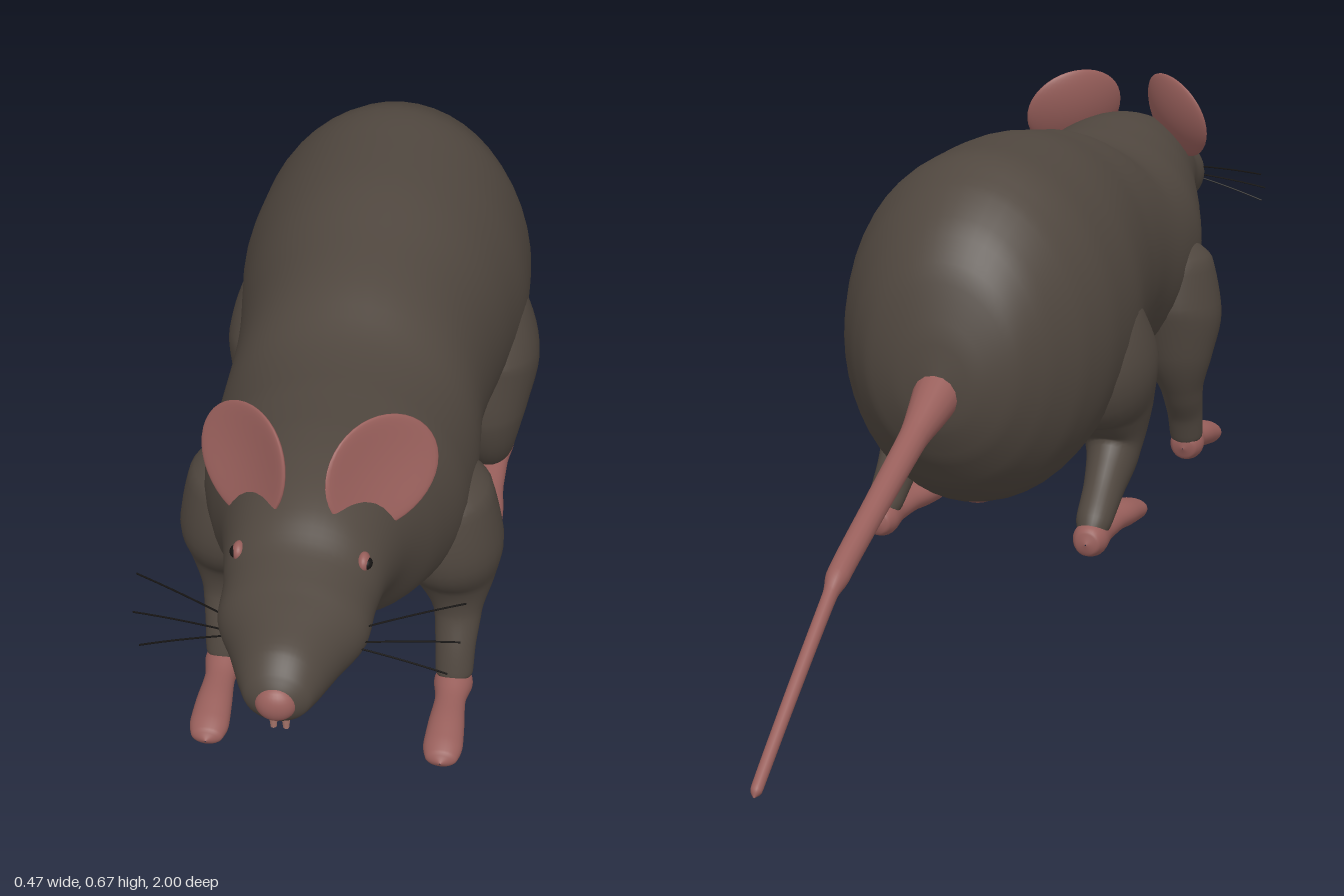
import * as THREE from 'three';

const mat = (name, color) => Object.assign(new THREE.MeshStandardMaterial({ color }), { name });

// Smooth skin through sections [x, y, z, halfWidth, halfHeight]
function loft(sections, steps = 40, sides = 28, upright = false) {
  const path = new THREE.CatmullRomCurve3(sections.map(s => new THREE.Vector3(s[0], s[1], s[2])));
  const size = new THREE.CatmullRomCurve3(sections.map(s => new THREE.Vector3(s[3], s[4], 0)));
  const pos = [], idx = [];
  const X = new THREE.Vector3(1, 0, 0);
  for (let i = 0; i <= steps; i++) {
    const t = i / steps, c = path.getPoint(t), r = size.getPoint(t);
    const T = upright ? new THREE.Vector3(0, 0, 1) : path.getTangent(t);
    T.x = 0;
    const N = T.normalize().cross(X);
    for (let j = 0; j < sides; j++) {
      const a = j / sides * Math.PI * 2;
      const p = c.clone().addScaledVector(X, Math.max(r.x, 0.0005) * Math.cos(a))
        .addScaledVector(N, Math.max(r.y, 0.0005) * Math.sin(a));
      pos.push(p.x, p.y, p.z);
      if (i < steps) {
        const A = i * sides + j, B = i * sides + (j + 1) % sides;
        idx.push(A, B, A + sides, B, B + sides, A + sides);
      }
    }
  }
  const g = new THREE.BufferGeometry();
  g.setAttribute('position', new THREE.Float32BufferAttribute(pos, 3));
  g.setIndex(idx);
  g.computeVertexNormals();
  return g;
}

export function createModel() {
  const fur = mat('darkFur', 0x50473f);
  const pink = mat('pinkSkin', 0x985f5b);
  const black = mat('black', 0x161413);
  const tooth = mat('tooth', 0xa8766c);
  const model = new THREE.Group();
  const add = (name, geo, material, parent = model) => {
    const m = new THREE.Mesh(geo, material);
    m.name = name;
    parent.add(m);
    return m;
  };
  const ball = (name, material, p, s, parent) => {
    const m = add(name, new THREE.SphereGeometry(1, 24, 16), material, parent);
    m.position.set(...p);
    m.scale.set(...s);
    return m;
  };

  // Body and head: [z, centre y, half width, half height]
  const body = [
    [-0.315, 0.37, 0.001, 0.001], [-0.305, 0.375, 0.06, 0.07], [-0.28, 0.39, 0.115, 0.14],
    [-0.24, 0.395, 0.152, 0.195], [-0.18, 0.40, 0.187, 0.24], [-0.1, 0.41, 0.21, 0.263],
    [0, 0.42, 0.215, 0.253], [0.1, 0.435, 0.202, 0.235], [0.2, 0.437, 0.188, 0.217],
    [0.3, 0.437, 0.182, 0.2], [0.4, 0.415, 0.187, 0.19], [0.5, 0.42, 0.183, 0.185],
    [0.6, 0.445, 0.155, 0.165], [0.68, 0.48, 0.125, 0.125], [0.75, 0.49, 0.108, 0.098],
    [0.8, 0.48, 0.1, 0.082], [0.85, 0.475, 0.098, 0.073], [0.9, 0.472, 0.075, 0.064],
    [0.95, 0.47, 0.055, 0.053], [0.975, 0.465, 0.042, 0.038], [0.988, 0.463, 0.022, 0.02],
    [0.99, 0.463, 0.001, 0.001],
  ].map(([z, y, w, h]) => [0, y, z, w, h]);
  add('body', loft(body, 105, 48, true), fur);

  // Nose, tail and underside
  ball('nose', pink, [0, 0.463, 0.98], [0.027, 0.026, 0.02]);
  add('tail', loft([
    [0, 0.355, -0.295, 0.036, 0.036], [0, 0.338, -0.34, 0.029, 0.03], [0, 0.317, -0.4, 0.021, 0.022],
    [0, 0.26, -0.56, 0.018, 0.018], [0, 0.207, -0.7, 0.016, 0.017], [0, 0.19, -0.73, 0.01, 0.011],
    [0, 0.1, -0.87, 0.009, 0.009], [0, 0.018, -0.99, 0.008, 0.008], [0, 0.011, -0.999, 0.001, 0.001],
  ], 60, 16), pink);
  ball('undersideSkin', pink, [0, 0.157, -0.12], [0.03, 0.015, 0.025]);

  // Cupped ear disc
  const earGeo = new THREE.SphereGeometry(1, 32, 20).scale(0.09, 0.075, 0.011);
  const ep = earGeo.attributes.position;
  for (let i = 0; i < ep.count; i++) {
    const x = ep.getX(i), y = ep.getY(i);
    ep.setZ(i, ep.getZ(i) + 2.2 * (x * x + y * y));
  }
  earGeo.computeVertexNormals();

  const frontLegGeo = loft([
    [-0.03, 0.45, 0.45, 0.02, 0.03], [-0.025, 0.41, 0.45, 0.07, 0.08], [-0.02, 0.33, 0.45, 0.082, 0.088],
    [-0.008, 0.25, 0.44, 0.06, 0.056], [0, 0.19, 0.45, 0.035, 0.034], [0, 0.14, 0.473, 0.029, 0.027],
    [0, 0.1, 0.485, 0.027, 0.025], [0, 0.09, 0.488, 0.02, 0.02],
  ]);
  const frontFootGeo = loft([
    [0, 0.08, 0.462, 0.001, 0.001], [0, 0.081, 0.468, 0.02, 0.02], [0, 0.083, 0.49, 0.028, 0.027],
    [0, 0.082, 0.53, 0.022, 0.019], [0, 0.077, 0.575, 0.026, 0.021], [0, 0.07, 0.61, 0.028, 0.02],
    [0, 0.066, 0.635, 0.022, 0.014], [0, 0.066, 0.645, 0.001, 0.001],
  ]);
  const backLegGeo = loft([
    [-0.04, 0.48, 0.0, 0.02, 0.03], [-0.035, 0.43, 0.005, 0.08, 0.08], [-0.022, 0.34, 0.02, 0.092, 0.115],
    [-0.012, 0.26, 0.05, 0.068, 0.085], [-0.002, 0.2, 0.045, 0.043, 0.052], [0, 0.15, -0.01, 0.031, 0.036],
    [0, 0.11, -0.065, 0.027, 0.026], [0, 0.095, -0.08, 0.02, 0.02],
  ]);
  const backFootGeo = loft([
    [0, 0.086, -0.108, 0.001, 0.001], [0, 0.086, -0.102, 0.019, 0.019], [0, 0.088, -0.08, 0.027, 0.027],
    [0, 0.086, -0.03, 0.022, 0.019], [0, 0.083, 0.03, 0.022, 0.018], [0, 0.079, 0.09, 0.028, 0.021],
    [0, 0.072, 0.135, 0.028, 0.018], [0, 0.067, 0.165, 0.02, 0.012], [0, 0.066, 0.175, 0.001, 0.001],
  ]);

  // Whiskers: start and tip on the +x side
  const whiskers = [
    [[0.09, 0.484, 0.85], [0.215, 0.488, 0.79]],
    [[0.09, 0.468, 0.86], [0.213, 0.457, 0.83]],
    [[0.085, 0.462, 0.865], [0.2, 0.428, 0.86]],
  ];

  for (const [side, s] of [['left', 1], ['right', -1]]) {
    for (const [name, legGeo, footGeo] of [
      ['FrontLeg', frontLegGeo, frontFootGeo], ['BackLeg', backLegGeo, backFootGeo]]) {
      const leg = new THREE.Group();
      leg.name = side + name;
      leg.position.x = s * 0.167;
      // the limb leans inward, so the mirrored side uses reflected geometry
      const g = legGeo.clone();
      if (s < 0) {
        g.scale(-1, 1, 1);
        const a = g.index.array;
        for (let i = 0; i < a.length; i += 3) [a[i], a[i + 1]] = [a[i + 1], a[i]];
        g.computeVertexNormals();
      }
      add('limb', g, fur, leg);
      add('foot', footGeo, pink, leg);
      model.add(leg);
    }
    const ear = add(side + 'Ear', earGeo, pink);
    ear.position.set(s * 0.08, 0.6, 0.672);
    ear.rotation.set(-0.3, s * Math.PI / 4, 0, 'YXZ');

    // Eyes with a pink rim
    ball(side + 'EyeRim', pink, [s * 0.081, 0.533, 0.779], [0.009, 0.013, 0.014]);
    ball(side + 'Eye', black, [s * 0.083, 0.533, 0.781], [0.01, 0.009, 0.01]);

    // Front teeth
    const t = add(side + 'Tooth', new THREE.CylinderGeometry(0.007, 0.004, 0.03, 10), tooth);
    t.position.set(s * 0.008, 0.416, 0.957);

    for (const [a, b] of whiskers) {
      const p = new THREE.Vector3(s * a[0], a[1], a[2]), q = new THREE.Vector3(s * b[0], b[1], b[2]);
      const mid = p.clone().lerp(q, 0.5);
      mid.y += 0.003;
      add(side + 'Whisker', new THREE.TubeGeometry(new THREE.QuadraticBezierCurve3(p, mid, q), 8, 0.0013, 5), black);
    }
  }
  return model;
}
